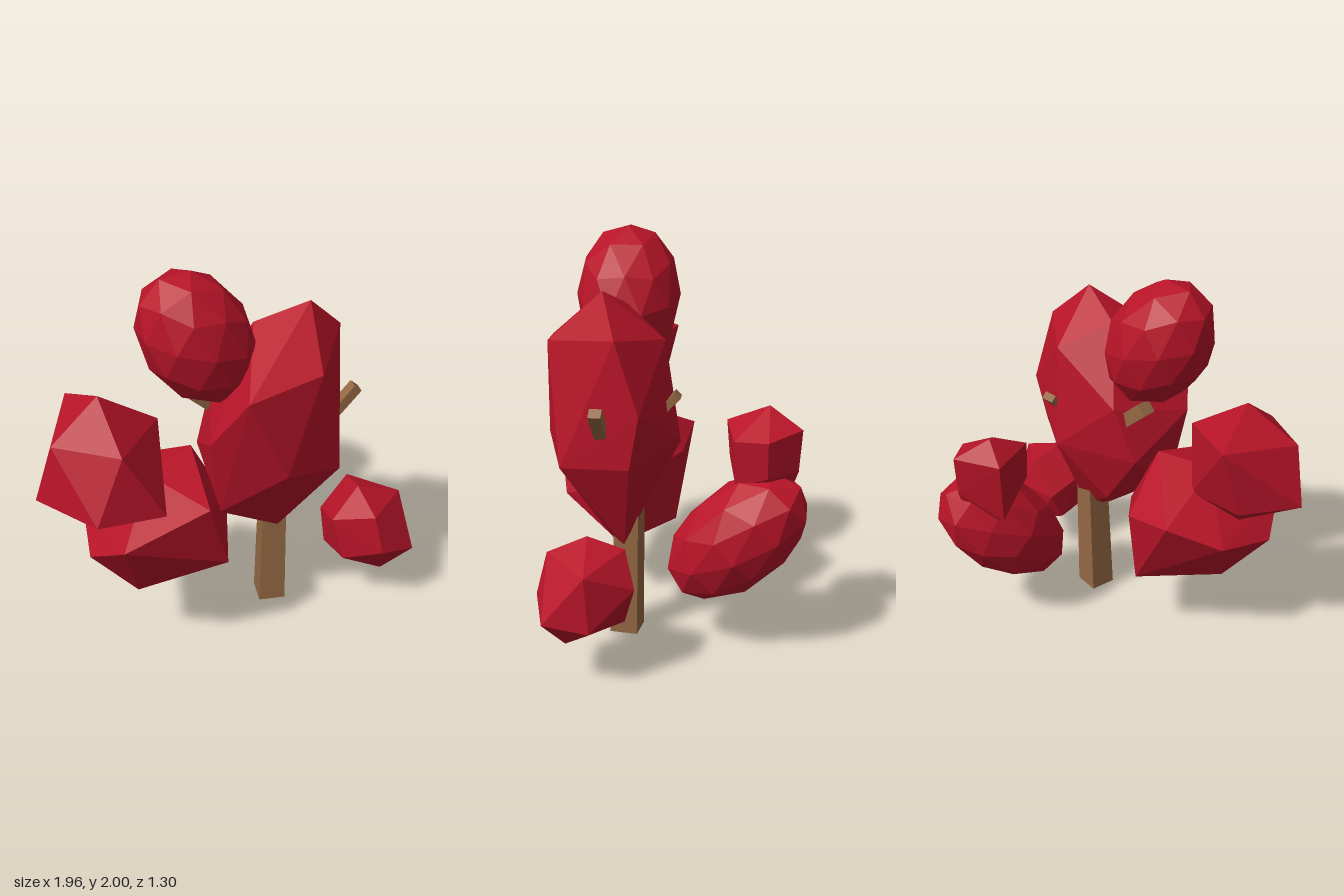
import * as THREE from 'three';
import { ConvexGeometry } from 'three/addons/geometries/ConvexGeometry.js';

const V = (p) => new THREE.Vector3(...p);
const leafMat = new THREE.MeshStandardMaterial({ color: 0xb81428, flatShading: true });
const barkMat = new THREE.MeshStandardMaterial({ color: 0x946844, flatShading: true });

// Irregular faceted leaf clump: the hull of a few corner points
function leafClump(name, corners) {
  const mesh = new THREE.Mesh(new ConvexGeometry(corners.map(V)), leafMat);
  mesh.name = name;
  return mesh;
}

// Finer egg-shaped leaf ball, stretched along an axis
function leafEgg(name, at, axis, long, wide) {
  const geo = new THREE.IcosahedronGeometry(1, 1).scale(wide, long, wide);
  const mesh = new THREE.Mesh(geo, leafMat);
  mesh.name = name;
  mesh.position.set(...at);
  mesh.quaternion.setFromUnitVectors(V([0, 1, 0]), V(axis).normalize());
  return mesh;
}

// Square-sided stub running between two points
function branch(name, from, to, width, depth) {
  const a = V(from), b = V(to);
  const mesh = new THREE.Mesh(new THREE.BoxGeometry(width, depth, a.distanceTo(b)), barkMat);
  mesh.name = name;
  mesh.position.copy(a).add(b).multiplyScalar(0.5);
  mesh.lookAt(b);
  return mesh;
}

export function createModel() {
  const tree = new THREE.Group();
  tree.name = 'tree';

  // Tapered, slightly leaning square trunk
  const height = 1.0;
  const trunkGeo = new THREE.BoxGeometry(0.14, height, 0.14).translate(0, height / 2, 0);
  trunkGeo.rotateY(-0.19);
  const pos = trunkGeo.attributes.position;
  for (let i = 0; i < pos.count; i++) {
    const y = pos.getY(i), k = 1 - 0.2 * y;
    pos.setXYZ(i, 0.281 + pos.getX(i) * k + 0.01 * y, y, 0.247 + pos.getZ(i) * k - 0.03 * y);
  }
  trunkGeo.computeVertexNormals();
  const trunk = new THREE.Mesh(trunkGeo, barkMat);
  trunk.name = 'trunk';
  tree.add(trunk);

  // Branch stubs poking out of the main crown
  tree.add(
    branch('leftBranch', [0.46, 1.03, 0.32], [0.667, 1.28, 0.345], 0.06, 0.05),
    branch('backBranch', [0.35, 1.12, 0.14], [0.36, 1.285, -0.02], 0.075, 0.04),
    branch('rightBranch', [0.05, 1.16, 0.17], [-0.14, 1.33, 0.17], 0.08, 0.07)
  );

  // Large central crown
  tree.add(leafClump('mainCrown', [
    [0.4, 1.79, 0.33], [0.15, 1.68, 0.24], [0.6, 1.6, 0.26], [0.35, 1.54, 0.6],
    [-0.03, 1.48, 0.63], [0.35, 1.55, 0.04], [-0.16, 1.2, 0.48], [0.0, 1.3, 0.08],
    [0.63, 1.25, 0.15], [0.18, 1.03, 0.63], [0.5, 0.95, 0.54], [0.6, 0.98, 0.2],
    [0.3, 1.03, -0.03], [-0.1, 1.0, 0.14], [-0.09, 0.77, 0.44], [0.1, 0.7, 0.14],
    [0.36, 0.5, 0.25], [0.29, 0.49, 0.3],
  ]));

  // Coarse clumps around it
  tree.add(leafClump('upperRightLeaves', [
    [-0.65, 1.49, 0.32], [-0.35, 1.28, 0.28], [-0.9, 1.32, 0.4], [-0.62, 1.3, 0.58],
    [-0.73, 1.36, 0.03], [-0.98, 1.02, 0.36], [-0.77, 1.0, 0.65], [-0.43, 0.96, 0.62],
    [-0.43, 0.94, 0.2], [-0.78, 1.0, 0.12], [-0.66, 0.83, 0.3],
  ]));
  tree.add(leafClump('lowerRightLeaves', [
    [-0.17, 1.06, 0.24], [-0.43, 1.02, 0.35], [-0.22, 0.95, 0.64], [-0.65, 0.82, 0.65],
    [-0.49, 0.87, -0.07], [-0.2, 0.8, -0.02], [-0.7, 0.75, 0.12], [-0.76, 0.68, 0.44],
    [0.02, 0.69, 0.25], [-0.11, 0.58, 0.6], [-0.51, 0.36, 0.39], [-0.05, 0.32, 0.31],
    [-0.22, 0.4, 0.02],
  ]));
  tree.add(leafClump('backTopLeaves', [
    [0.34, 1.23, -0.46], [0.29, 1.14, -0.255], [0.23, 1.12, -0.5], [0.44, 1.14, -0.615],
    [0.56, 1.11, -0.45], [0.51, 1.1, -0.29], [0.28, 0.95, -0.27], [0.25, 0.79, -0.47],
    [0.45, 0.75, -0.53], [0.55, 0.93, -0.45], [0.5, 0.87, -0.3], [0.44, 0.93, -0.6],
  ]));
  tree.add(leafClump('lowerLeftLeaves', [
    [0.74, 0.41, 0.63], [0.7, 0.69, 0.39], [0.71, 0.61, 0.58], [0.955, 0.59, 0.38],
    [0.975, 0.32, 0.36], [0.95, 0.35, 0.58], [0.82, 0.19, 0.49], [0.6, 0.3, 0.47],
    [0.55, 0.53, 0.42], [0.58, 0.29, 0.28], [0.7, 0.25, 0.22], [0.59, 0.45, 0.2],
    [0.83, 0.48, 0.16], [0.73, 0.64, 0.21],
  ]));

  // Finer egg-shaped clumps
  tree.add(
    leafEgg('topLeaves', [-0.145, 1.665, 0.255], [-0.48, 0.88, 0], 0.365, 0.264),
    leafEgg('backLeaves', [0.445, 0.59, -0.31], [0.2, 0.69, -0.69], 0.43, 0.25)
  );

  return tree;
}
